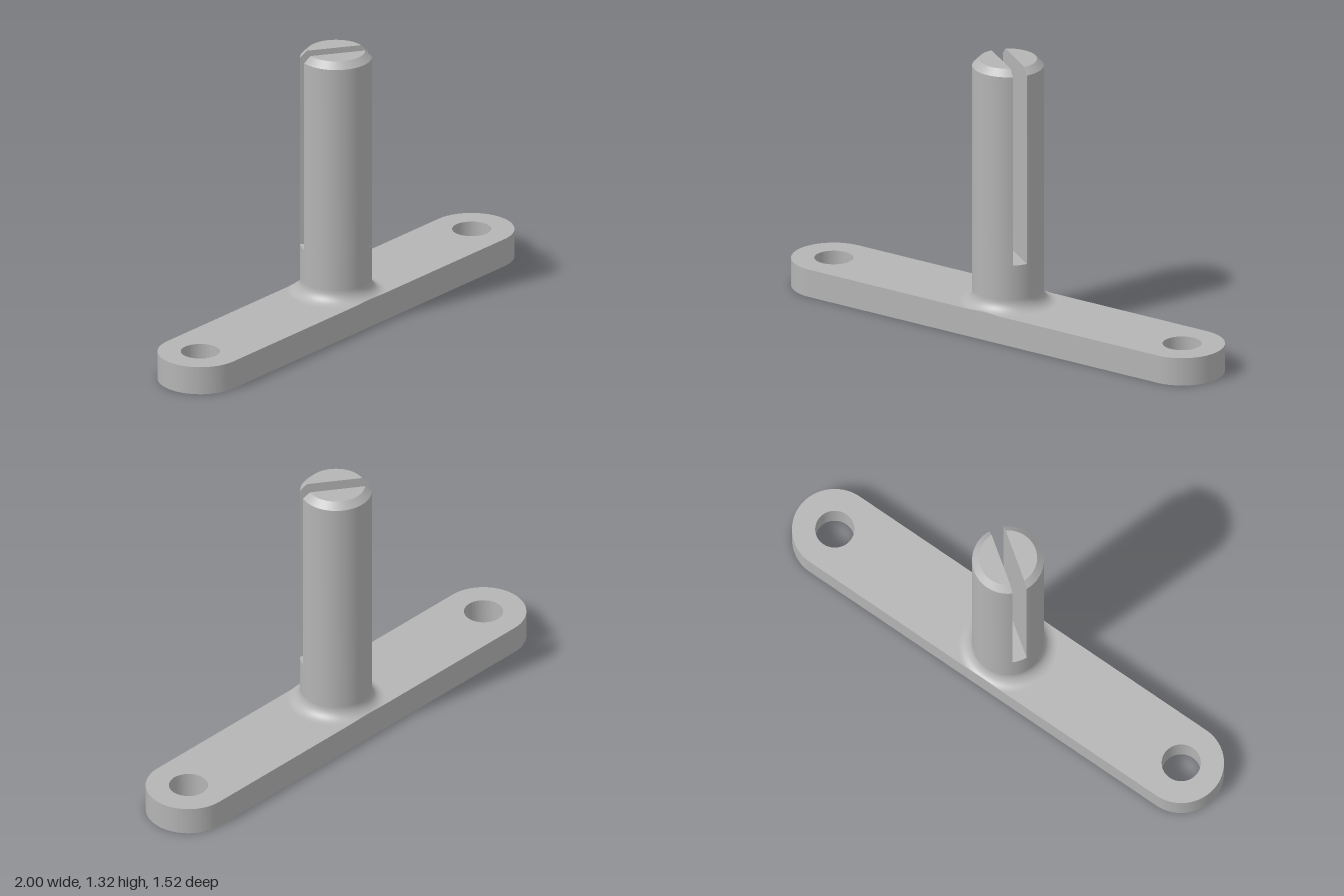
import * as THREE from 'three';
import { toCreasedNormals } from 'three/addons/utils/BufferGeometryUtils.js';

const TILT = THREE.MathUtils.degToRad(35); // plate direction seen from above
const HALF_WIDTH = 0.197, HOLE_X = 0.98, HOLE_R = 0.09, PLATE_H = 0.134;
const R = 0.165, CHAMFER = 0.031, TOP = 1.32, FILLET = 0.06;
const SLOT = 0.034, SLOT_Y = 0.365; // half width and floor height of the slot

const lathe = (pts, segments = 96, ...arc) =>
  new THREE.LatheGeometry(pts.map(([x, y]) => new THREE.Vector2(x, y)), segments, ...arc);

// Round-ended bar with a hole at each end
function plateGeometry() {
  const s = new THREE.Shape();
  s.moveTo(-HOLE_X, -HALF_WIDTH);
  s.lineTo(HOLE_X, -HALF_WIDTH);
  s.absarc(HOLE_X, 0, HALF_WIDTH, -Math.PI / 2, Math.PI / 2);
  s.lineTo(-HOLE_X, HALF_WIDTH);
  s.absarc(-HOLE_X, 0, HALF_WIDTH, Math.PI / 2, Math.PI * 1.5);
  for (const side of [-1, 1]) {
    const hole = new THREE.Path();
    hole.absarc(side * HOLE_X, 0, HOLE_R, 0, Math.PI * 2, true);
    s.holes.push(hole);
  }
  const g = new THREE.ExtrudeGeometry(s, { depth: PLATE_H, bevelEnabled: false, curveSegments: 40 });
  return toCreasedNormals(g.rotateX(-Math.PI / 2), 0.5);
}

// Concave foot of the pin, trimmed flush with the long sides of the plate
function filletGeometry() {
  const edge = R + FILLET;
  const height = r => PLATE_H + FILLET - Math.sqrt(Math.max(0, FILLET ** 2 - (edge - r) ** 2));
  const pts = [[edge, PLATE_H]];
  for (let i = 0; i <= 12; i++) {
    const a = (i / 12) * Math.PI / 2;
    pts.push([edge - FILLET * Math.sin(a), PLATE_H + FILLET * (1 - Math.cos(a))]);
  }
  const g = lathe(pts), p = g.attributes.position;
  for (let i = 0; i < p.count; i++) {
    const x = p.getX(i), z = p.getZ(i), r = Math.hypot(x, z);
    const limit = HALF_WIDTH * r / Math.max(Math.abs(z), 1e-6);
    if (r <= limit) continue;
    const k = limit / r, bottom = i % pts.length === 0;
    p.setXYZ(i, x * k, bottom ? PLATE_H : height(limit), z * k);
  }
  return g;
}

// Turned surface of one prong, its arc shortened to end at the slot wall
function prongSurface(pts) {
  const n = 64, g = lathe(pts, n, -Math.PI / 2, Math.PI), p = g.attributes.position;
  for (let i = 0; i < p.count; i++) {
    const [r, y] = pts[i % pts.length];
    if (r === 0) { p.setXYZ(i, 0, y, SLOT); continue; }
    const half = Math.PI / 2 - Math.asin(SLOT / r);
    const phi = (Math.floor(i / pts.length) / n * 2 - 1) * half;
    p.setXYZ(i, r * Math.sin(phi), y, r * Math.cos(phi));
  }
  g.computeVertexNormals();
  return g;
}

// Flat slot wall of one prong, facing the slot
function slotWall() {
  const w = Math.sqrt(R ** 2 - SLOT ** 2), t = Math.sqrt((R - CHAMFER) ** 2 - SLOT ** 2);
  const outline = [[-w, SLOT_Y], [w, SLOT_Y], [w, TOP - CHAMFER], [t, TOP], [-t, TOP], [-w, TOP - CHAMFER]];
  const g = new THREE.ShapeGeometry(new THREE.Shape(outline.map(([x, y]) => new THREE.Vector2(x, y))));
  return g.rotateY(Math.PI).translate(0, 0, SLOT);
}

export function createModel() {
  const model = new THREE.Group();
  model.name = 'slottedPinOnPlate';
  const metal = new THREE.MeshStandardMaterial({ color: 0xb4b4b4 });
  metal.name = 'grey metal';
  const add = (parent, name, geometry) => {
    const mesh = new THREE.Mesh(geometry, metal);
    mesh.name = name;
    parent.add(mesh);
  };

  // Diagonal base plate and pin foot
  const base = new THREE.Group();
  base.name = 'base';
  base.rotation.y = TILT;
  add(base, 'plate', plateGeometry());
  add(base, 'pinFillet', filletGeometry());
  model.add(base);

  // Solid lower pin and slot floor
  add(model, 'pinShank', lathe([[R, PLATE_H + FILLET], [R, SLOT_Y]]));
  add(model, 'slotFloor', lathe([[R, SLOT_Y], [0, SLOT_Y]]));

  // Two prongs either side of the slot
  ['frontProng', 'backProng'].forEach((name, i) => {
    const prong = new THREE.Group();
    prong.name = name;
    prong.rotation.y = i * Math.PI;
    add(prong, 'prongSide', prongSurface([[R, SLOT_Y], [R, TOP - CHAMFER]]));
    add(prong, 'prongChamfer', prongSurface([[R, TOP - CHAMFER], [R - CHAMFER, TOP]]));
    add(prong, 'prongTop', prongSurface([[R - CHAMFER, TOP], [0, TOP]]));
    add(prong, 'slotWall', slotWall());
    model.add(prong);
  });
  return model;
}
